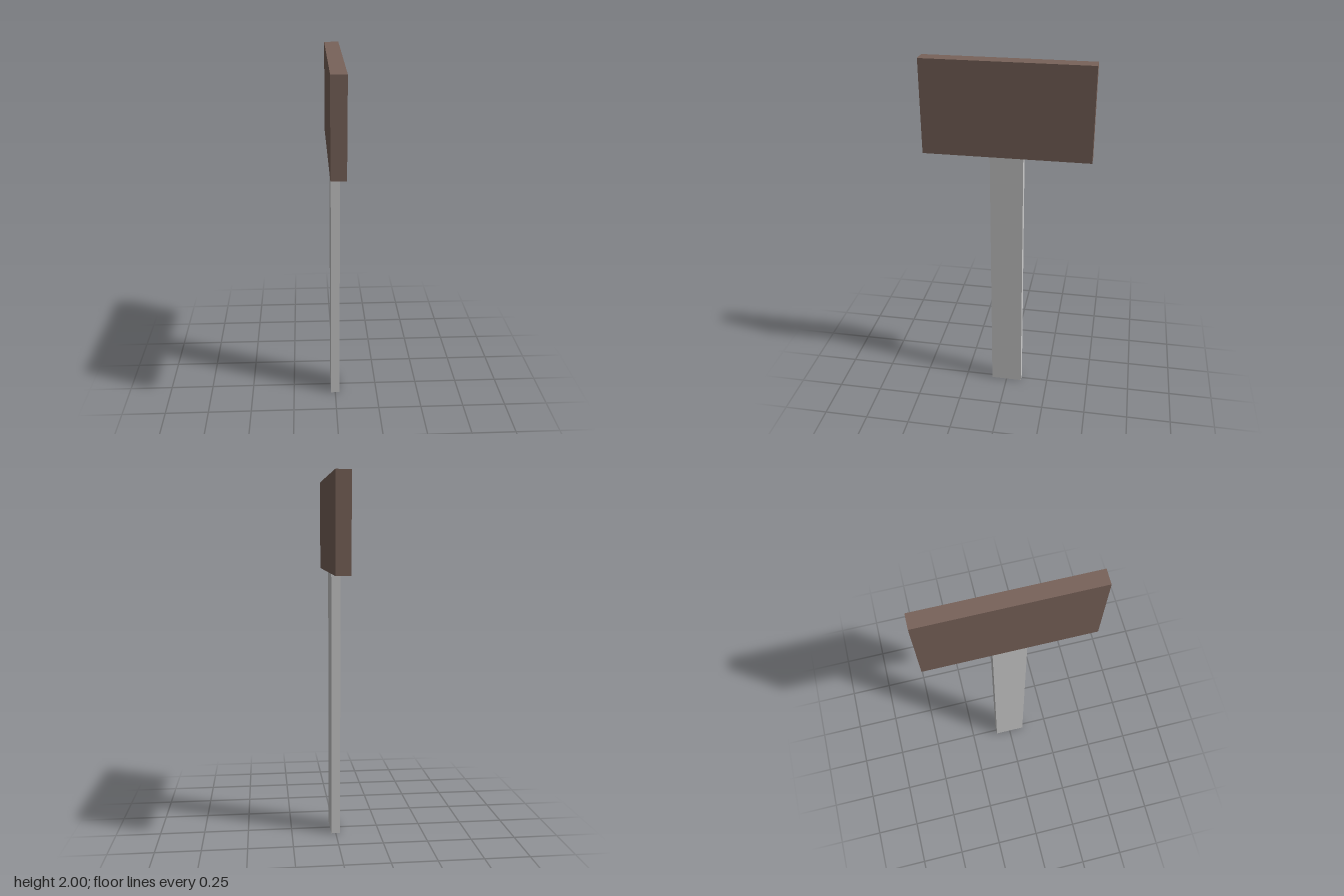
import * as THREE from 'three';

export function createModel() {
  const group = new THREE.Group();
  const joint = 1.49; // height where the post meets the board

  // Box standing between two heights, centred on x and z
  function addBox(name, width, depth, bottom, top, color) {
    const mesh = new THREE.Mesh(
      new THREE.BoxGeometry(width, top - bottom, depth),
      new THREE.MeshStandardMaterial({ color })
    );
    mesh.name = name;
    mesh.position.y = (bottom + top) / 2;
    group.add(mesh);
  }

  // Flat upright post
  addBox('post', 0.05, 0.18, 0, joint, 0xcccccc);
  // Wide board on top
  addBox('signBoard', 0.08, 0.905, joint, 2, 0x79635a);

  return group;
}
